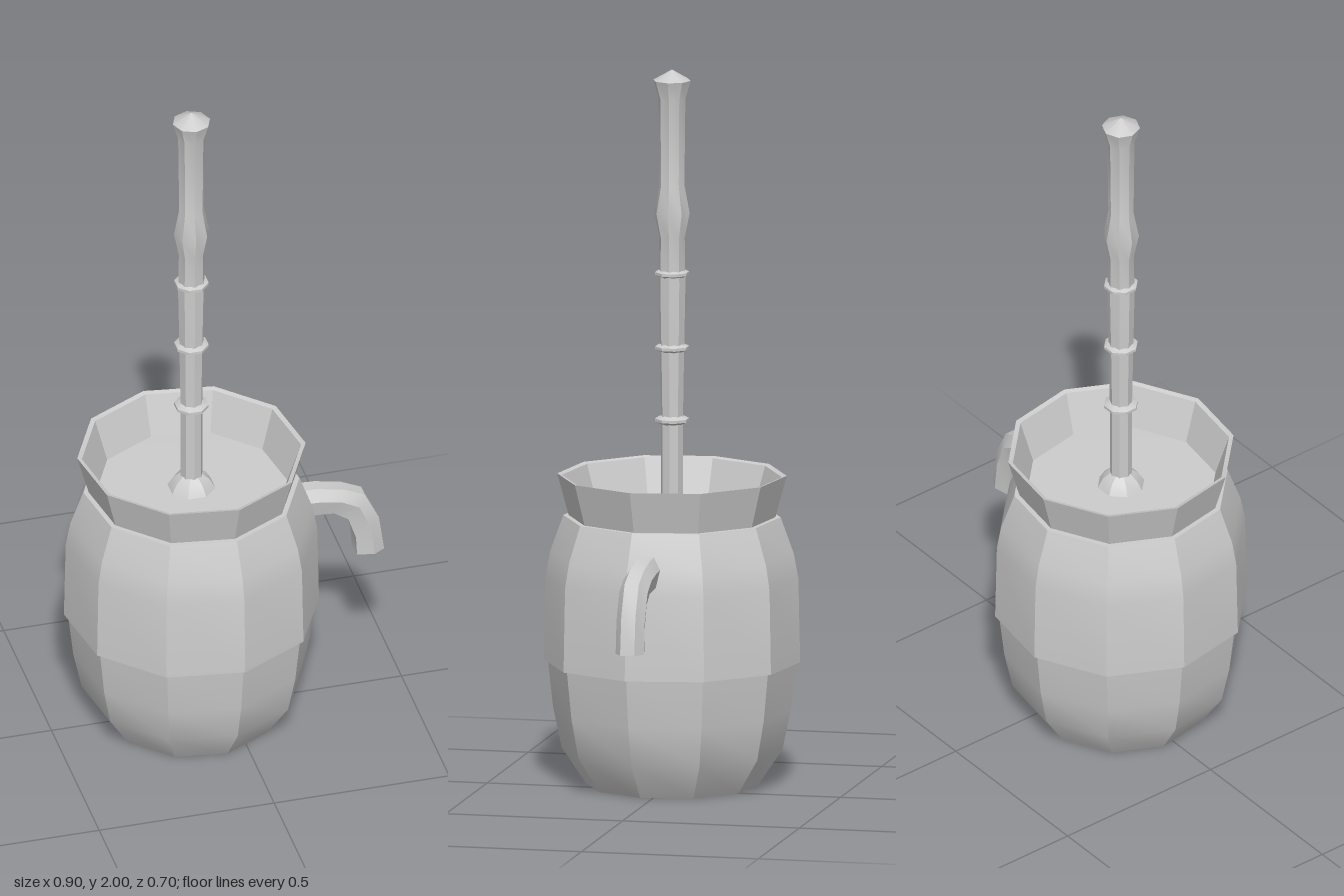
import * as THREE from 'three';
import { toCreasedNormals } from 'three/addons/utils/BufferGeometryUtils.js';

const wood = new THREE.MeshStandardMaterial({ color: 0xcccccc });
wood.name = 'plain grey wood';

// Faceted turned part: [radius, height] pairs running up the outside
function turned(name, profile, sides, startDeg, creaseDeg) {
  const points = profile.map(([r, y]) => new THREE.Vector2(r, y));
  const lathe = new THREE.LatheGeometry(points, sides, THREE.MathUtils.degToRad(startDeg));
  const mesh = new THREE.Mesh(toCreasedNormals(lathe, THREE.MathUtils.degToRad(creaseDeg)), wood);
  mesh.name = name;
  return mesh;
}

// Curved side handle from six-sided sections spanning an outer and an inner point
function handle() {
  const sections = [
    [0.20, 0.688, 0.20, 0.605], [0.255, 0.685, 0.255, 0.605], [0.33, 0.67, 0.30, 0.602],
    [0.39, 0.642, 0.34, 0.575], [0.43, 0.56, 0.362, 0.51], [0.445, 0.452, 0.365, 0.452],
  ];
  const across = [[0, -0.02], [0, 0.02], [0.4, 0.04], [1, 0.03], [1, -0.03], [0.4, -0.04]];
  const n = across.length;
  const pos = [], index = [];
  for (const [ox, oy, ix, iy] of sections) {
    for (const [t, z] of across) pos.push(ox + (ix - ox) * t, oy + (iy - oy) * t, z);
  }
  for (let s = 0; s < sections.length - 1; s++) {
    for (let k = 0; k < n; k++) {
      const a = s * n + k, b = s * n + (k + 1) % n;
      index.push(a, b, a + n, b, b + n, a + n);
    }
  }
  // End caps
  const last = (sections.length - 1) * n;
  for (let k = 1; k < n - 1; k++) {
    index.push(0, k + 1, k, last, last + k, last + k + 1);
  }
  const geo = new THREE.BufferGeometry();
  geo.setAttribute('position', new THREE.Float32BufferAttribute(pos, 3));
  geo.setIndex(index);
  const mesh = new THREE.Mesh(toCreasedNormals(geo, 0.5), wood);
  mesh.name = 'handle';
  return mesh;
}

export function createModel() {
  const model = new THREE.Group();
  model.name = 'churn';

  // Everything turned shares one vertical axis, left of the handle
  const churn = new THREE.Group();
  churn.name = 'turnedParts';
  churn.position.x = -0.1;
  model.add(churn);

  // Ten-sided barrel, with a raised lower edge on its middle band
  churn.add(turned('barrel', [
    [0, 0], [0.238, 0], [0.305, 0.1], [0.328, 0.21], [0.343, 0.345], [0.354, 0.345],
    [0.349, 0.58], [0.336, 0.65], [0.3, 0.75], [0.28, 0.75],
  ], 10, 9.5, 28));

  // Flared rim and recessed lid
  churn.add(turned('rim', [
    [0.285, 0.748], [0.317, 0.866], [0.304, 0.862], [0.266, 0.745],
  ], 10, 9.5, 28));
  churn.add(turned('lid', [[0.27, 0.745], [0, 0.748]], 10, 9.5, 28));

  // Plunger: flared foot, shaft, grip swelling and pointed knob
  churn.add(turned('plungerFoot', [[0.068, 0.745], [0.05, 0.775], [0.03, 0.79]], 8, 22.5, 25));
  churn.add(turned('plungerShaft', [
    [0.031, 0.745], [0.031, 1.02], [0.034, 1.2], [0.038, 1.4], [0.036, 1.53],
    [0.05, 1.6], [0.035, 1.68], [0.038, 1.92], [0.053, 1.97], [0, 2],
  ], 8, 0, 25));

  // Thin rings along the shaft
  for (const y of [1.02, 1.222, 1.43]) {
    const ring = turned('shaftRing', [[0.03, -0.012], [0.048, -0.004], [0.048, 0.004], [0.03, 0.012]], 8, 22.5, 25);
    ring.position.y = y;
    churn.add(ring);
  }

  model.add(handle());
  return model;
}
